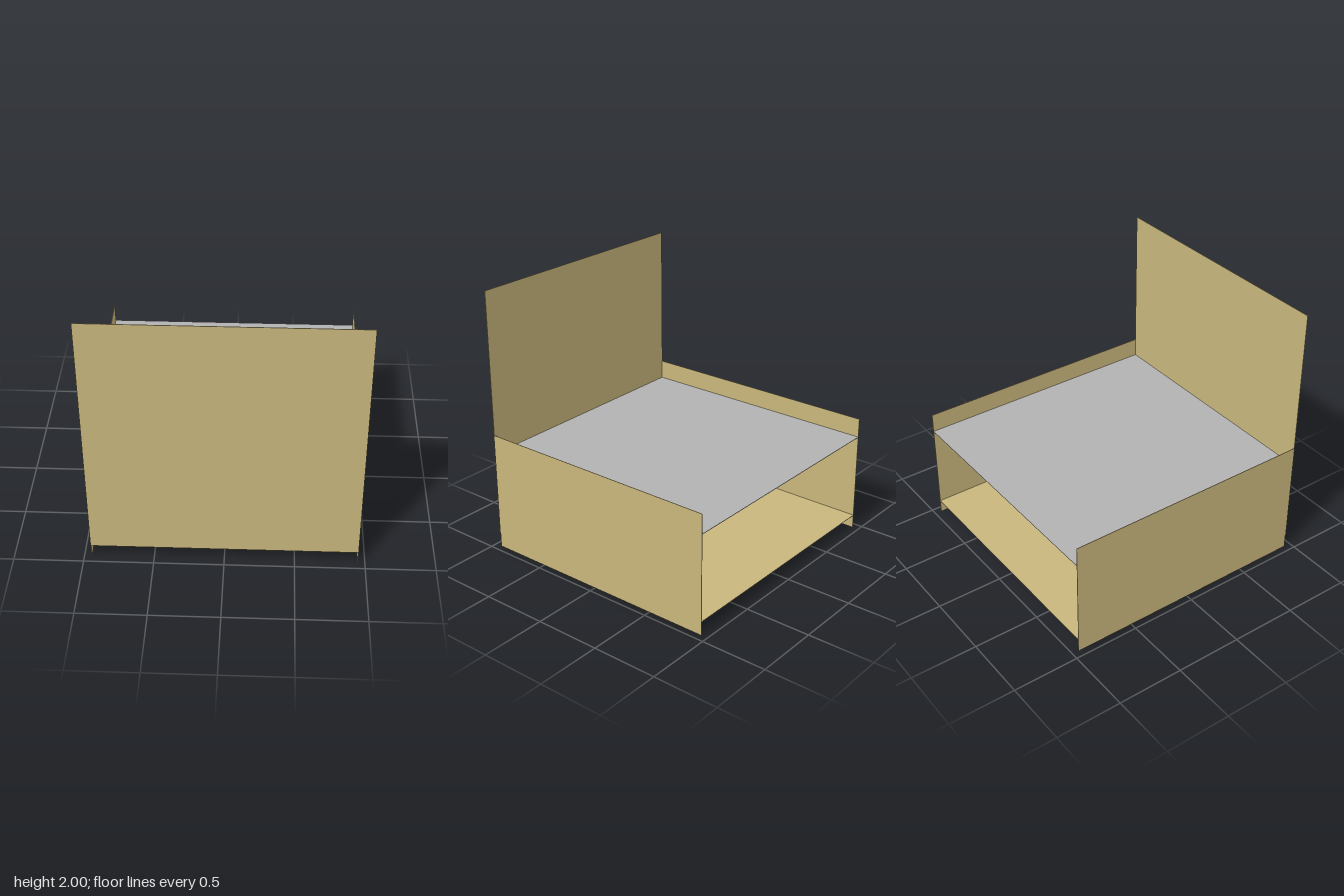
import * as THREE from 'three';

const T = 0.004;      // board thickness
const HALF = 0.95;    // half width and half depth

export function createModel() {
  const model = new THREE.Group();
  model.name = 'deskCabinet';

  const wood = new THREE.MeshStandardMaterial({ color: 0xc8b67c });
  wood.name = 'light wood';
  const grey = new THREE.MeshStandardMaterial({ color: 0xb2b2b2 });
  grey.name = 'grey top';

  const board = (name, material, w, h, d, x, y, z) => {
    const mesh = new THREE.Mesh(new THREE.BoxGeometry(w, h, d), material);
    mesh.name = name;
    mesh.position.set(x, y, z);
    model.add(mesh);
  };

  const inner = 2 * (HALF - T);   // width between the side panels
  const depth = 2 * HALF - T;     // depth behind the front panel

  // Tall front panel, raised off the floor
  board('frontPanel', wood, 2 * HALF, 1.895, T, 0, 1.0525, HALF - T / 2);

  // Low side panels reaching the floor
  for (const [name, s] of [['leftPanel', 1], ['rightPanel', -1]]) {
    board(name, wood, T, 0.91, depth, s * (HALF - T / 2), 0.455, -T / 2);
  }

  // Work surface and lower shelf, open at the back
  board('workSurface', grey, inner, T, depth, 0, 0.763, -T / 2);
  board('lowerShelf', wood, inner, T, depth, 0, 0.104, -T / 2);

  return model;
}
